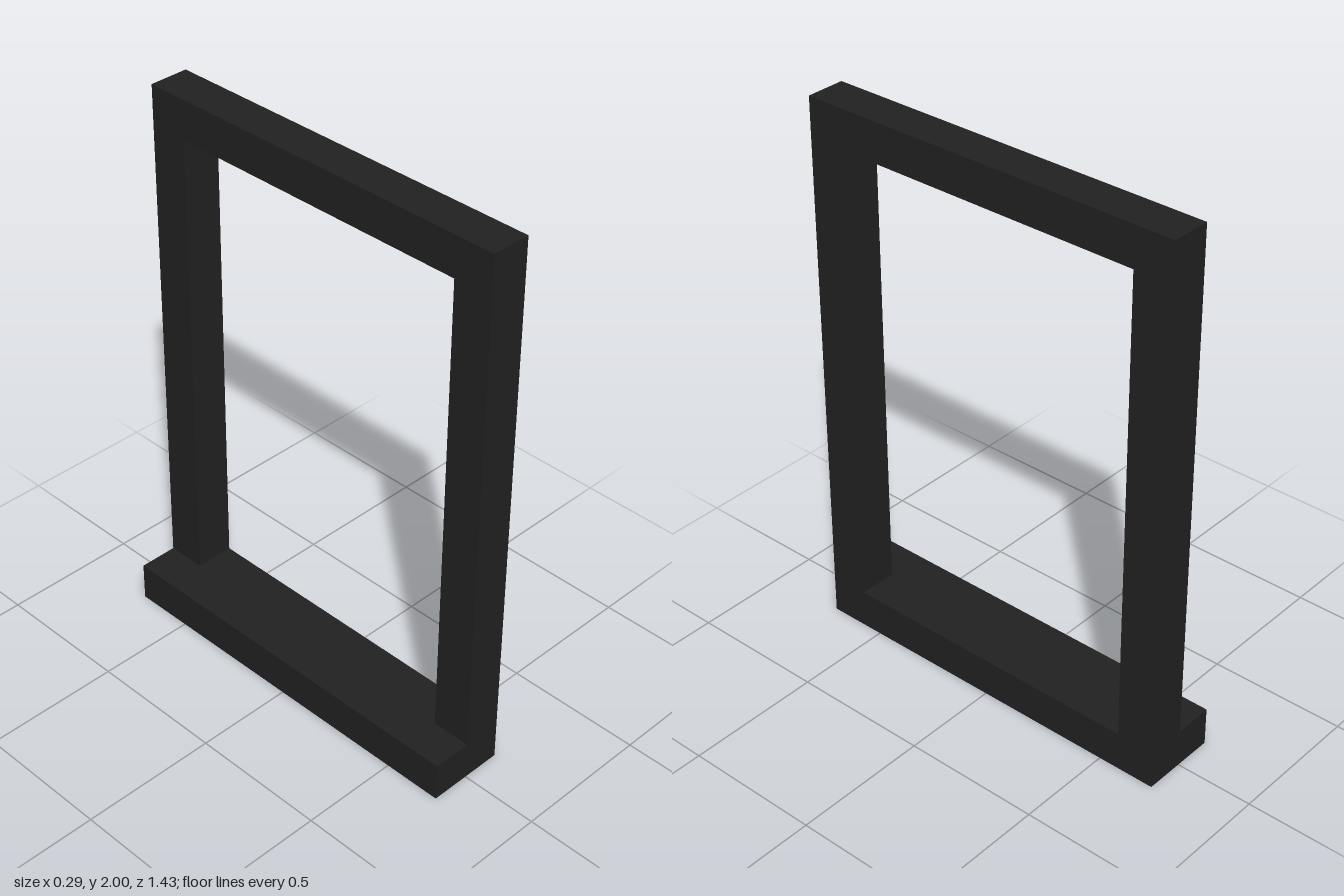
import * as THREE from 'three';

const T = 1 / 7;   // bar thickness
const H = 2;       // overall height
const W = 10 / 7;  // overall width along z

export function createModel() {
  const model = new THREE.Group();
  model.name = 'standingFrame';
  const black = new THREE.MeshStandardMaterial({ color: 0x222222 });
  black.name = 'matte black';

  const addBar = (name, size, position) => {
    const bar = new THREE.Mesh(new THREE.BoxGeometry(...size), black);
    bar.name = name;
    bar.position.set(...position);
    model.add(bar);
  };

  // Wide foot that carries the frame and steps out to -x
  addBar('foot', [2 * T, T, W], [0, T / 2, 0]);

  // Front and back uprights, standing on the +x half of the foot
  for (const [name, side] of [['frontPost', 1], ['backPost', -1]]) {
    addBar(name, [T, H - 2 * T, T], [T / 2, H / 2, side * (W - T) / 2]);
  }

  // Top rail across both uprights
  addBar('topRail', [T, T, W], [T / 2, H - T / 2, 0]);

  return model;
}
